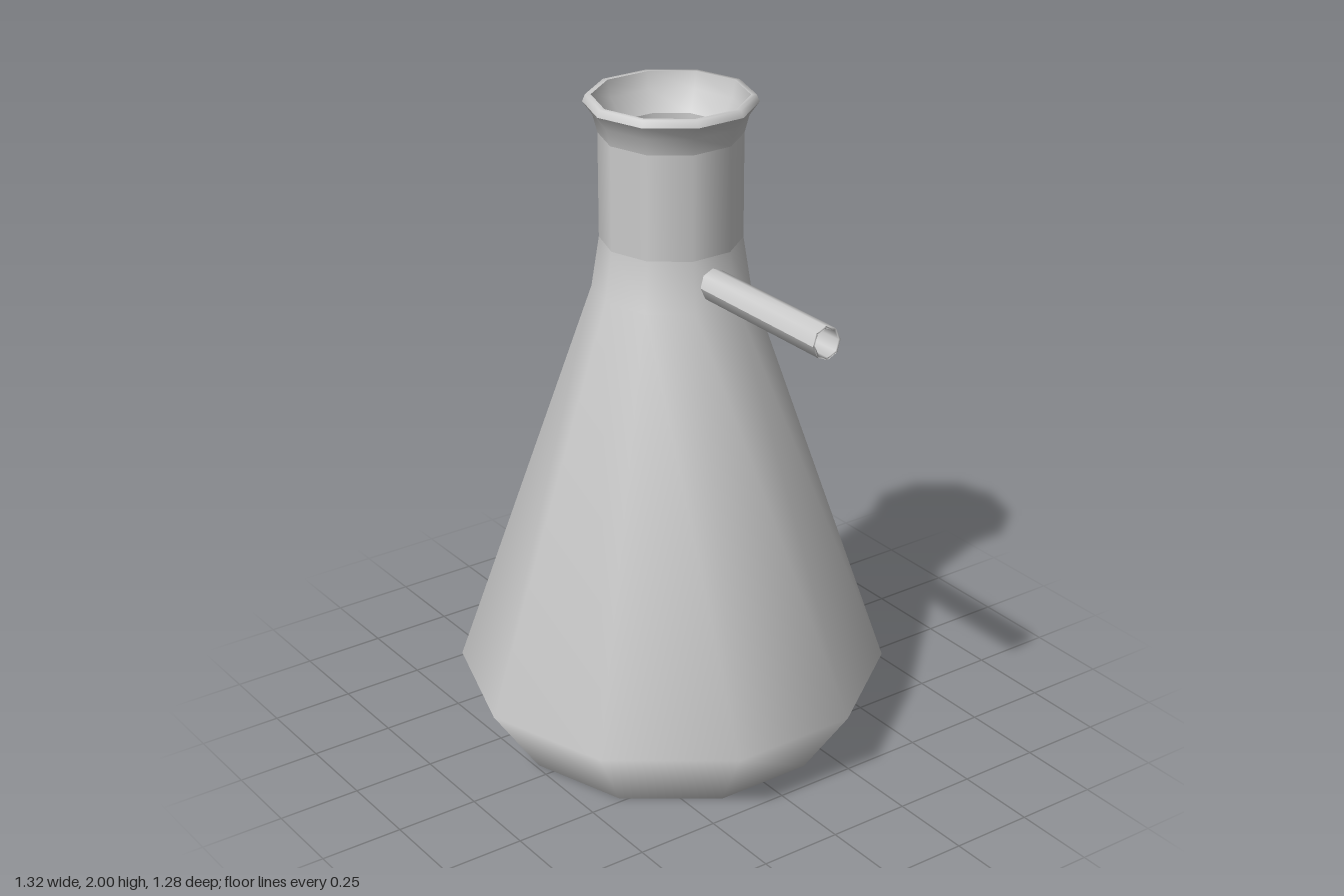
import * as THREE from 'three';

const AXIS_X = -0.055;
const SIDES = 10;

export function createModel() {
  const group = new THREE.Group();
  group.name = 'filterFlask';
  const material = new THREE.MeshStandardMaterial({ color: 0xcccccc, side: THREE.DoubleSide });

  // Revolves a [radius, height] profile; rising profiles face outward
  function revolve(name, profile, sides = SIDES) {
    const points = profile.map(([r, y]) => new THREE.Vector2(r, y));
    const mesh = new THREE.Mesh(new THREE.LatheGeometry(points, sides), material);
    mesh.name = name;
    group.add(mesh);
    return mesh;
  }

  // Glass vessel, split where its edges are sharp
  const vessel = [
    revolve('base', [[0, 0], [0.49, 0]]),
    revolve('body', [[0.49, 0], [0.64, 0.22], [0.228, 1.43], [0.205, 1.58]]),
    revolve('neck', [[0.205, 1.58], [0.205, 1.89]]),
    revolve('lipFlare', [[0.205, 1.89], [0.218, 1.94], [0.246, 1.98]]),
    revolve('lipRim', [[0.246, 1.98], [0.238, 2.0], [0.222, 2.0]]),
    revolve('innerLip', [[0.222, 2.0], [0.212, 1.95], [0.175, 1.89]]),
    revolve('innerWall', [[0.175, 1.89], [0.175, 1.58], [0.197, 1.43], [0.605, 0.22], [0.475, 0.03]]),
    revolve('innerFloor', [[0.475, 0.03], [0, 0.03]]),
  ];
  vessel.forEach((part) => { part.position.x = AXIS_X; });

  // Hollow side arm, revolved upright and then laid along +x
  const length = 0.525;
  const sideArm = revolve('sideArm', [
    [0.038, 0], [0.047, 0], [0.047, length], [0.04, length], [0.038, 0],
  ], 8);
  const geometry = sideArm.geometry;
  geometry.rotateZ(-Math.PI / 2);
  // Slightly slanted outlet
  const position = geometry.attributes.position;
  for (let i = 0; i < position.count; i++) {
    if (position.getX(i) > length / 2) {
      position.setX(i, position.getX(i) - position.getY(i) * 0.13);
    }
  }
  geometry.computeVertexNormals();
  sideArm.position.set(0.13, 1.5, 0);

  return group;
}
